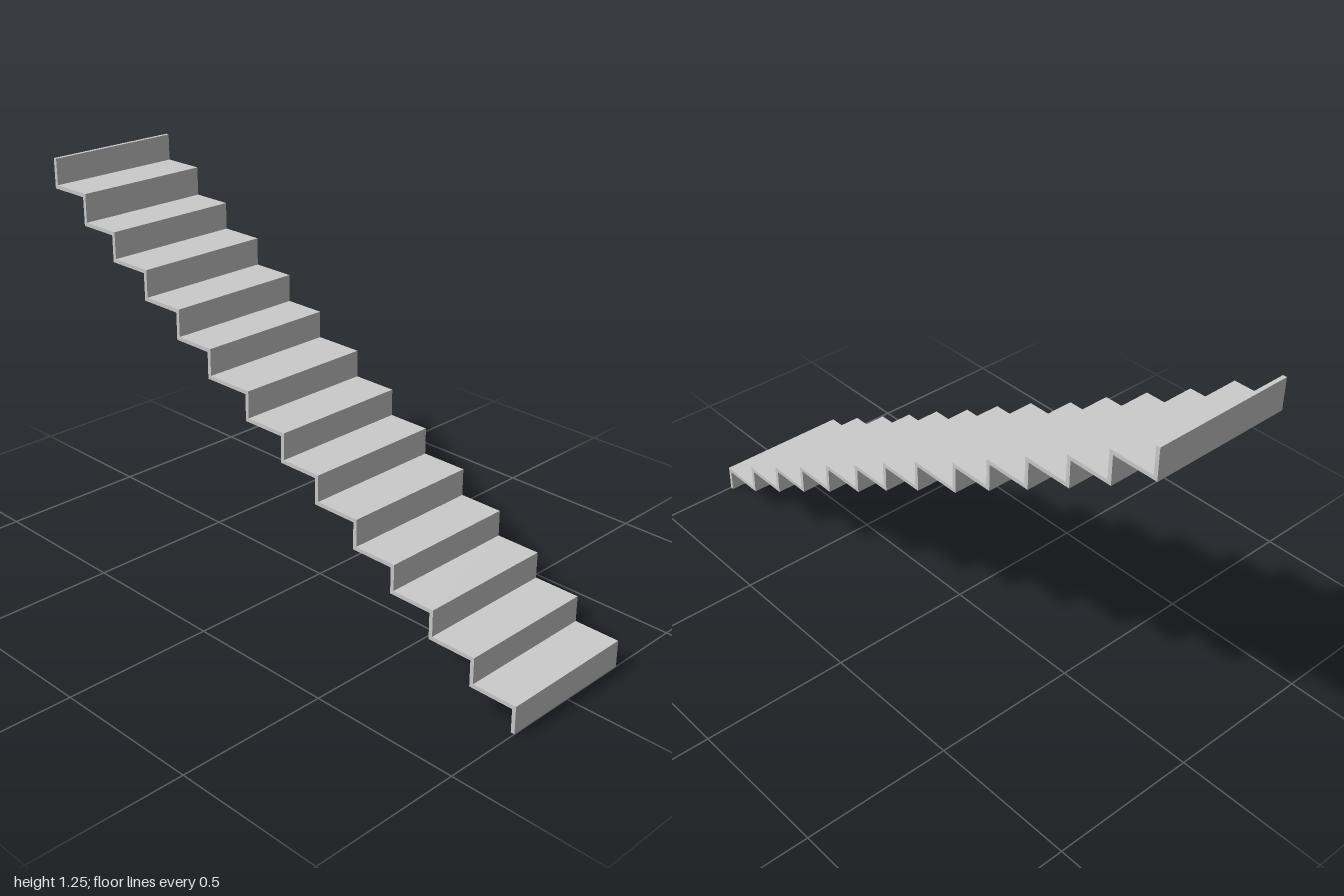
import * as THREE from 'three';

// Outer face of each riser and the height of its top edge, from the bottom step up
const RISER_X = [1, 0.847, 0.692, 0.541, 0.391, 0.233, 0.087, -0.068, -0.239, -0.384, -0.538, -0.693, -0.838, -0.987];
const RISER_TOP = [0.089, 0.174, 0.26, 0.345, 0.434, 0.521, 0.609, 0.698, 0.787, 0.878, 0.97, 1.06, 1.156, 1.245];
const THICKNESS = 0.013;
const WIDTH = 0.474;

export function createModel() {
  const group = new THREE.Group();
  group.name = 'staircase';

  // Zigzag of risers and treads: walking surface up, underside back down
  const upper = [];
  const lower = [];
  const last = RISER_X.length - 1;
  RISER_X.forEach((x, i) => {
    const base = i ? RISER_TOP[i - 1] : 0;
    const top = RISER_TOP[i];
    upper.push(new THREE.Vector2(x, base), new THREE.Vector2(x, top));
    lower.push(
      new THREE.Vector2(x - THICKNESS, i ? base - THICKNESS : 0),
      new THREE.Vector2(x - THICKNESS, i < last ? top - THICKNESS : top),
    );
  });

  // Folded plate, extruded across the stair width
  const geometry = new THREE.ExtrudeGeometry(
    new THREE.Shape([...upper, ...lower.reverse()]),
    { depth: WIDTH, bevelEnabled: false },
  );
  geometry.translate(0, 0, -WIDTH / 2);

  const steps = new THREE.Mesh(geometry, new THREE.MeshStandardMaterial({ color: 0xcccccc }));
  steps.name = 'foldedSteps';
  group.add(steps);
  return group;
}
